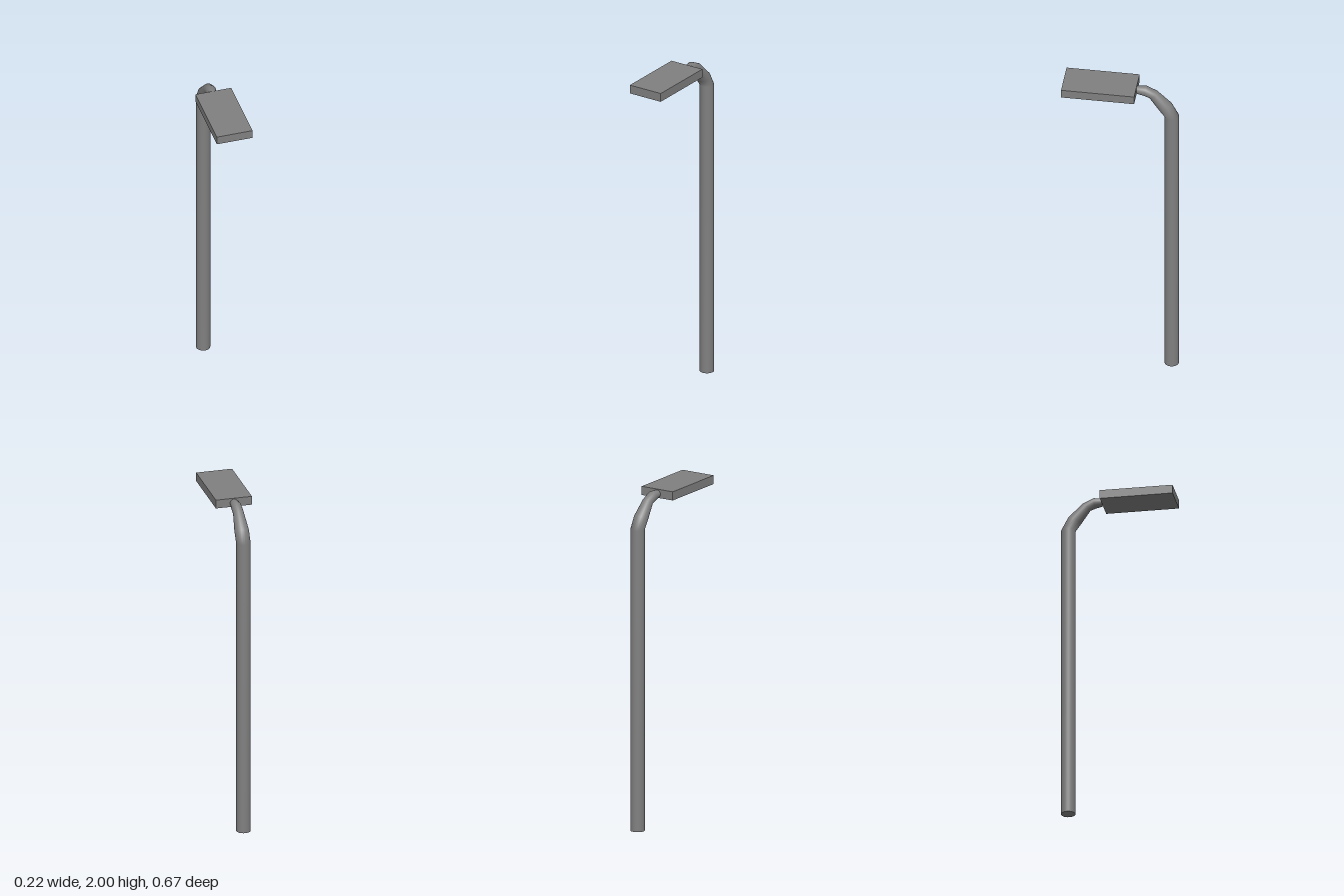
import * as THREE from 'three';

const SIDES = 24;
const POLE_Z = -0.295;
const POLE_R = 0.042;

// Skin circular sections [z, y, radius, tilt]; tilt 0 points up, PI/2 points forward
function loft(sections) {
  const pos = [], index = [];
  for (const [z, y, r, tilt] of sections) {
    for (let i = 0; i < SIDES; i++) {
      const a = (i / SIDES) * Math.PI * 2;
      const d = r * Math.cos(a);
      pos.push(r * Math.sin(a), y - d * Math.sin(tilt), z + d * Math.cos(tilt));
    }
  }
  for (let s = 0; s < sections.length - 1; s++) {
    for (let i = 0; i < SIDES; i++) {
      const j = (i + 1) % SIDES;
      const a = s * SIDES + i, b = s * SIDES + j;
      index.push(a, b, b + SIDES, a, b + SIDES, a + SIDES);
    }
  }
  const geo = new THREE.BufferGeometry();
  geo.setAttribute('position', new THREE.Float32BufferAttribute(pos, 3));
  geo.setIndex(index);
  geo.computeVertexNormals();
  return geo;
}

export function createModel() {
  const model = new THREE.Group();
  model.name = 'streetLamp';
  const material = new THREE.MeshStandardMaterial({ color: 0x808080 });
  const add = (name, geo, x, y, z) => {
    const mesh = new THREE.Mesh(geo, material);
    mesh.name = name;
    mesh.position.set(x, y, z);
    model.add(mesh);
  };

  // Upright pole flowing smoothly into a tapering arm that bends forward
  add('poleAndArm', loft([
    [POLE_Z, 0, POLE_R, 0],
    [POLE_Z, 1.805, POLE_R, 0],
    [-0.258, 1.866, POLE_R, 0.48],
    [-0.188, 1.948, 0.031, 0.66],
    [-0.14, 1.969, 0.031, 1.4],
    [-0.088, 1.972, 0.023, Math.PI / 2],
  ]), 0, 0, 0);

  // Flat underside of the pole
  const base = new THREE.CircleGeometry(POLE_R, SIDES).rotateX(Math.PI / 2);
  add('poleBase', base, 0, 0, POLE_Z);

  // Flat rectangular lamp head
  add('lampHead', new THREE.BoxGeometry(0.216, 0.052, 0.427), 0, 1.974, 0.1225);

  return model;
}
